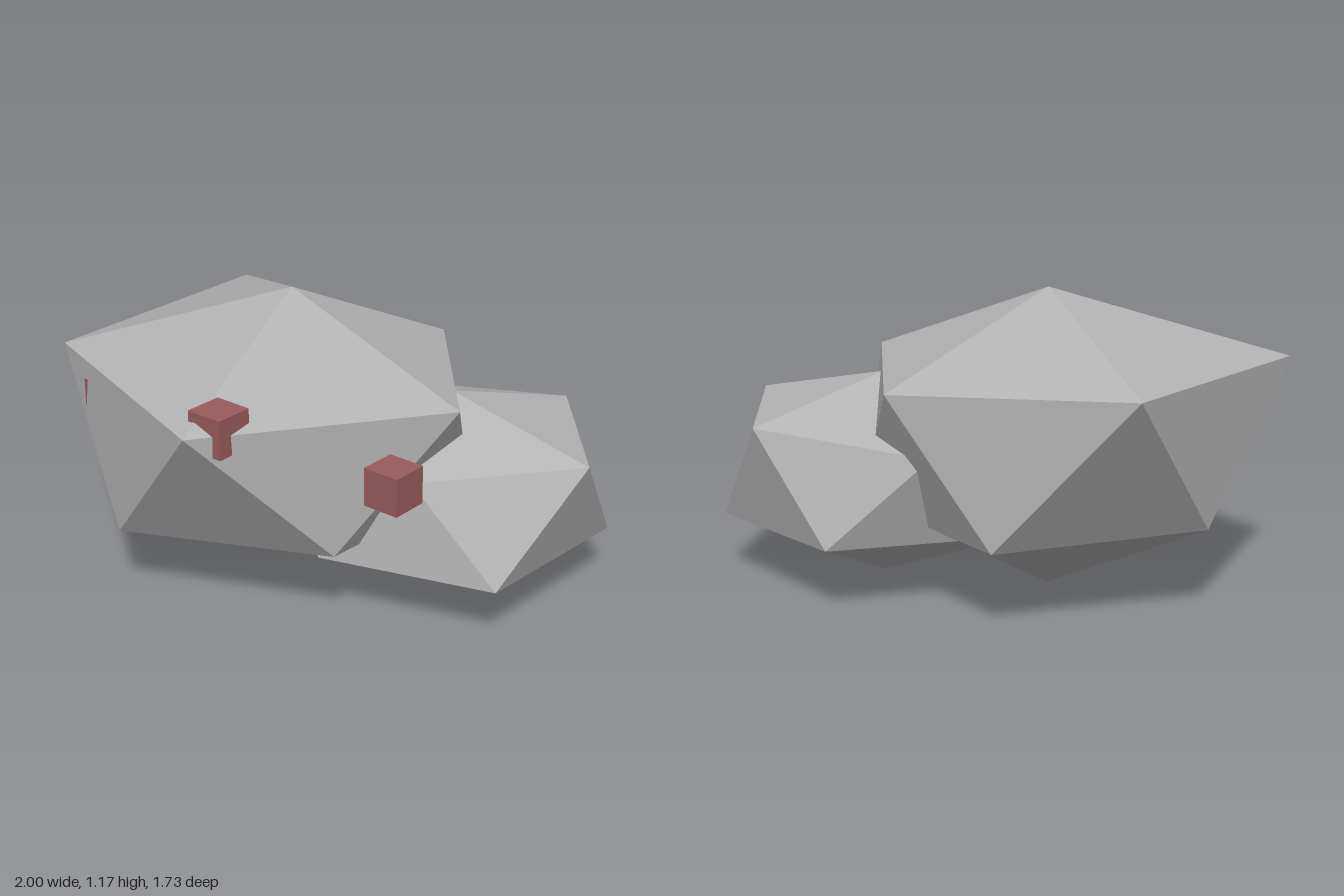
import * as THREE from 'three';

const rockGrey = new THREE.MeshStandardMaterial({ color: 0xb3b3b3, flatShading: true });
rockGrey.name = 'rockGrey';
const oreRed = new THREE.MeshStandardMaterial({ color: 0x995b5b, flatShading: true });
oreRed.name = 'oreRed';

// Twenty-sided boulder: two poles, with upper and lower rings of five corners
function boulder(name, top, bottom, upper, lower) {
  const corners = [];
  const face = (...points) => points.forEach(p => corners.push(...p));
  for (let i = 0; i < 5; i++) {
    const j = (i + 1) % 5;
    face(top, upper[j], upper[i]);
    face(upper[i], upper[j], lower[i]);
    face(lower[i], upper[j], lower[j]);
    face(bottom, lower[i], lower[j]);
  }
  const geometry = new THREE.BufferGeometry();
  geometry.setAttribute('position', new THREE.Float32BufferAttribute(corners, 3));
  geometry.computeVertexNormals();
  const mesh = new THREE.Mesh(geometry, rockGrey);
  mesh.name = name;
  return mesh;
}

export function createModel() {
  const model = new THREE.Group();
  model.name = 'oreRock';

  // Rings run from +x round towards +z
  model.add(boulder('largeBoulder', [-0.25, 1.17, -0.05], [-0.25, 0, -0.05],
    [[0.58, 0.87, -0.05], [0.04, 0.915, 0.86], [-1, 0.905, 0.49], [-1, 0.905, -0.585], [-0.02, 0.84, -0.75]],
    [[0.315, 0.335, 0.36], [-0.5, 0.305, 0.7], [-0.965, 0.335, -0.05], [-0.46, 0.31, -0.7], [0.35, 0.33, -0.45]]));

  model.add(boulder('smallBoulder', [0.36, 0.815, -0.3], [0.36, 0.005, -0.3],
    [[1, 0.68, -0.3], [0.5, 0.615, 0.13], [-0.15, 0.6, 0.03], [-0.15, 0.6, -0.65], [0.54, 0.66, -0.85]],
    [[0.85, 0.245, 0.06], [0.165, 0.245, 0.28], [-0.28, 0.25, -0.3], [0.17, 0.25, -0.87], [0.88, 0.235, -0.675]]));

  // Ore cubes lodged in the stone
  const cube = new THREE.BoxGeometry(0.153, 0.153, 0.153);
  const places = [[0.512, 0.66, 0.257], [0.053, 0.904, 0.69], [-0.718, 0.753, 0.4975]];
  places.forEach((place, i) => {
    const ore = new THREE.Mesh(cube, oreRed);
    ore.name = `oreCube${i + 1}`;
    ore.position.set(...place);
    model.add(ore);
  });

  return model;
}
